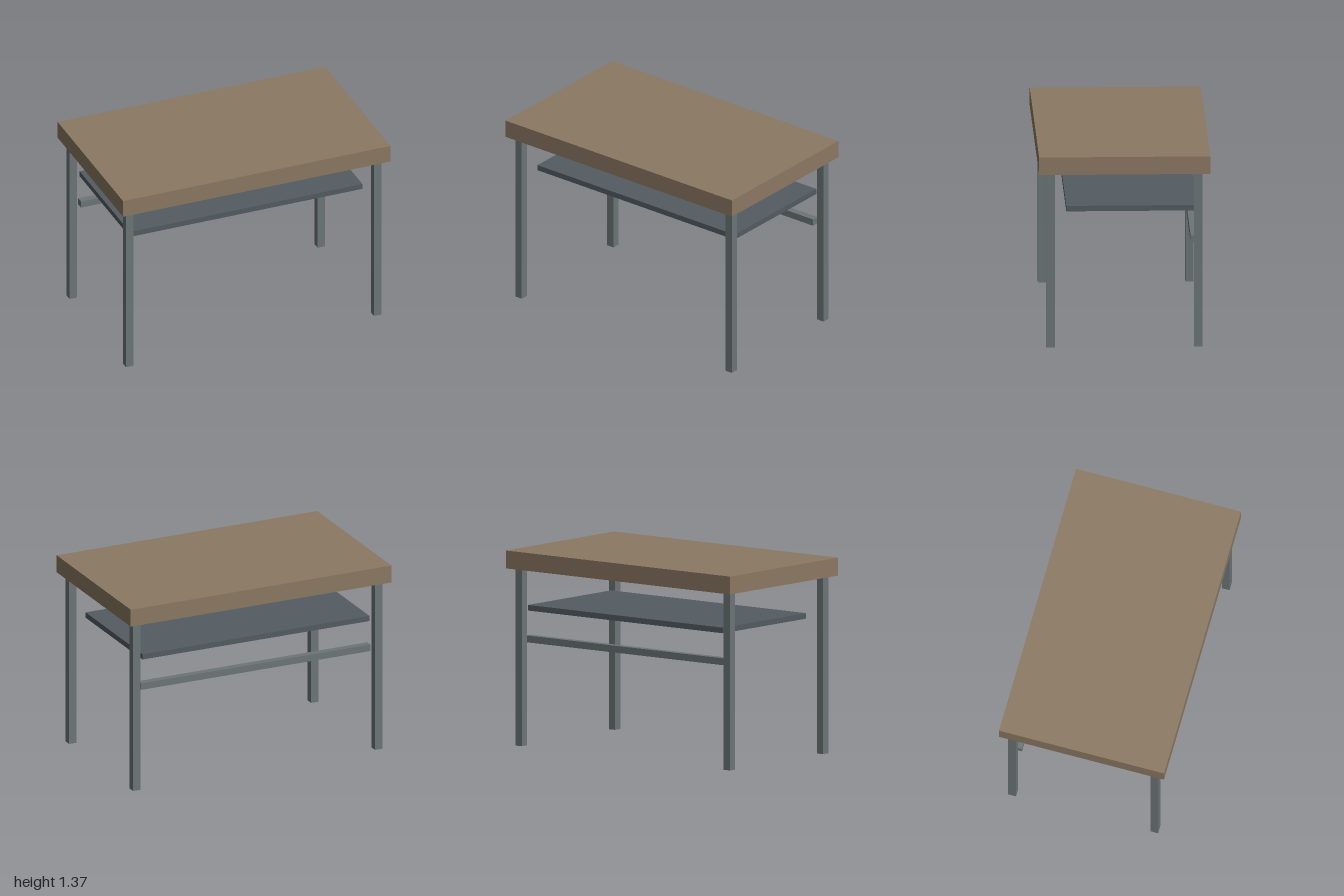
import * as THREE from 'three';

const wood = new THREE.MeshStandardMaterial({ color: 0x8b7862 });
const steel = new THREE.MeshStandardMaterial({ color: 0x6c7577 });
const darkSteel = new THREE.MeshStandardMaterial({ color: 0x535c62 });

// Box given by its extents along each axis
function block(name, material, [x0, x1], [y0, y1], [z0, z1]) {
  const mesh = new THREE.Mesh(new THREE.BoxGeometry(x1 - x0, y1 - y0, z1 - z0), material);
  mesh.position.set((x0 + x1) / 2, (y0 + y1) / 2, (z0 + z1) / 2);
  mesh.name = name;
  return mesh;
}

export function createModel() {
  const table = new THREE.Group();
  table.name = 'table';

  // Thick wooden top
  table.add(block('tableTop', wood, [-1, 1], [1.24, 1.365], [-0.592, 0.592]));

  // Four square legs
  const legWidth = 0.056;
  for (const [side, sx] of [['Left', 1], ['Right', -1]]) {
    for (const [end, sz] of [['front', 1], ['back', -1]]) {
      const x = sx * 0.928, z = sz * 0.51, h = legWidth / 2;
      table.add(block(`${end}${side}Leg`, steel, [x - h, x + h], [0, 1.24], [z - h, z + h]));
    }
  }

  // Thin shelf, set back from the front
  table.add(block('shelf', darkSteel, [-0.87, 0.87], [0.948, 0.987], [-0.51, 0.4]));

  // Rail between the back legs
  table.add(block('backRail', steel, [-0.88, 0.88], [0.725, 0.773], [-0.51, -0.46]));

  return table;
}
